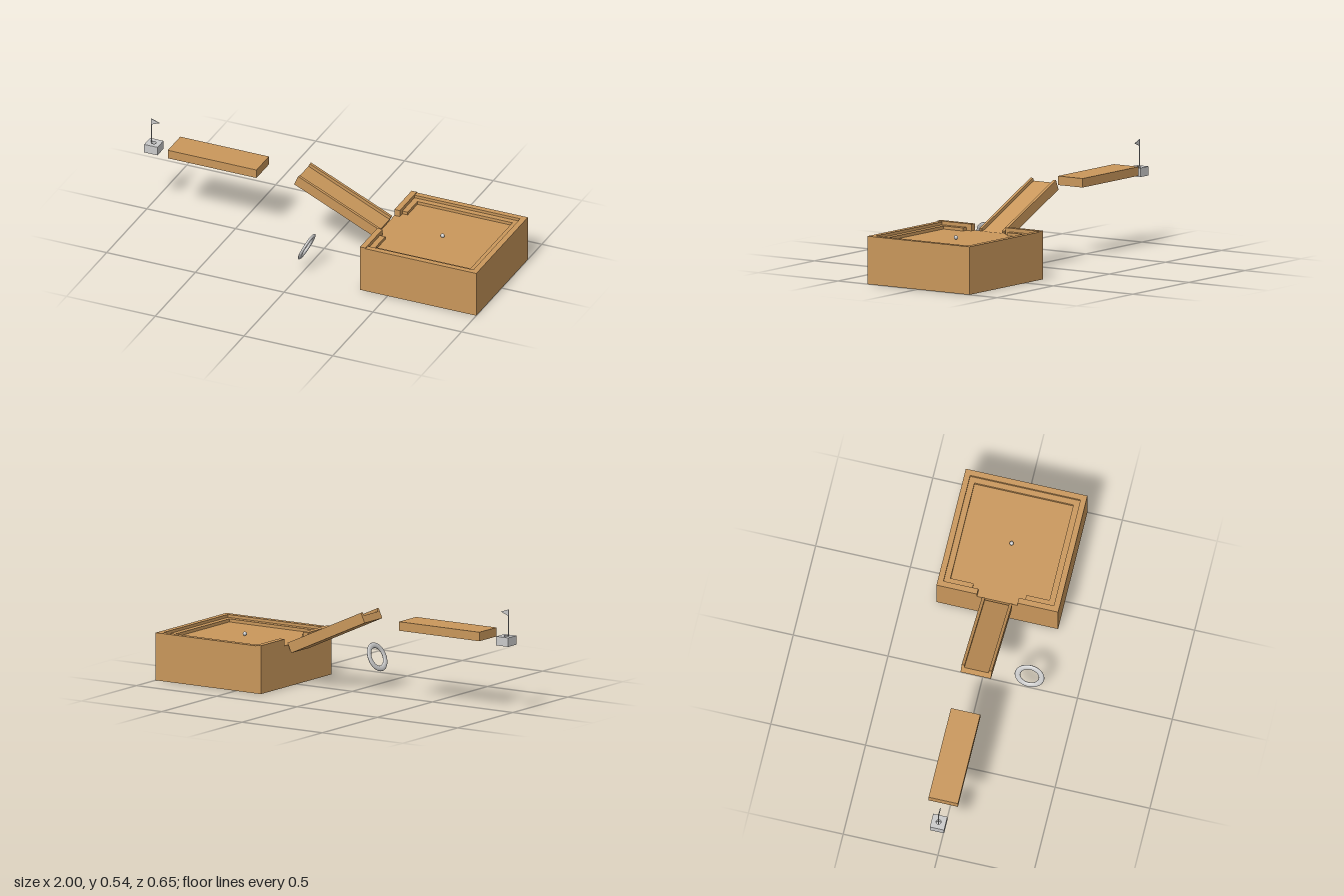
import * as THREE from 'three';

export function createModel() {
  const group = new THREE.Group();
  const mat = (name, color) => {
    const m = new THREE.MeshStandardMaterial({ color });
    m.name = name;
    return m;
  };
  const wood = mat('wood', 0xc9975b);
  const grey = mat('light grey', 0xcacaca);
  const midZ = -0.005; // centre line of the course

  const add = (name, geometry, material, parent = group) => {
    const mesh = new THREE.Mesh(geometry, material);
    mesh.name = name;
    parent.add(mesh);
    return mesh;
  };
  // Box given by its limits on each axis
  const block = (name, material, [x0, x1], [y0, y1], [z0, z1], parent) => {
    const mesh = add(name, new THREE.BoxGeometry(x1 - x0, y1 - y0, z1 - z0), material, parent);
    mesh.position.set((x0 + x1) / 2, (y0 + y1) / 2, (z0 + z1) / 2);
    return mesh;
  };
  // Plan outline extruded upwards from y0 to y1
  const raise = (name, shape, y0, y1, material) => {
    const geo = new THREE.ExtrudeGeometry(shape, { depth: y1 - y0, bevelEnabled: false, curveSegments: 12 });
    geo.rotateX(-Math.PI / 2);
    const mesh = add(name, geo, material);
    mesh.position.y = y0;
    return mesh;
  };

  // Tray: solid base with two stepped walls, open towards the ramp
  const x0 = 0.345, x1 = 1.0, half = 0.321;
  const floorY = 0.218, ledgeY = 0.234, rimY = 0.249;
  block('trayBase', wood, [x0, x1], [0, floorY], [midZ - half, midZ + half]);
  const wall = (name, inset, gap, y0, y1) => {
    const a = x0 + inset, b = x1 - inset, h = half - inset, t = 0.03;
    const pts = [
      [a, -gap], [a, -h], [b, -h], [b, h], [a, h], [a, gap],
      [a + t, gap], [a + t, h - t], [b - t, h - t], [b - t, -h + t], [a + t, -h + t], [a + t, -gap],
    ];
    const shape = new THREE.Shape(pts.map(([x, z]) => new THREE.Vector2(x, z)));
    raise(name, shape, y0, y1, wood).position.z = midZ;
  };
  wall('trayRim', 0, 0.107, floorY, rimY);
  wall('trayLedge', 0.03, 0.139, floorY, ledgeY);
  // Slightly raised wall tops beside the opening
  for (const s of [-1, 1]) {
    const z = [midZ + s * 0.107, midZ + s * half].sort((p, q) => p - q);
    block('entryWallTop', wood, [x0, x0 + 0.03], [rimY, 0.253], z);
  }

  // Ball resting on the tray floor
  add('ball', new THREE.SphereGeometry(0.011, 10, 8), grey).position.set(0.665, floorY + 0.011, midZ);

  // Sloping ramp with side rails
  const slope = 0.426;
  const ramp = new THREE.Group();
  ramp.name = 'ramp';
  ramp.position.set(0.104, 0.308, midZ);
  ramp.rotation.z = -slope;
  group.add(ramp);
  block('rampFloor', wood, [-0.251, 0.251], [-0.028, 0.011], [-0.08, 0.08], ramp);
  for (const s of [-1, 1]) {
    const z = [s * 0.064, s * 0.08].sort((p, q) => p - q);
    block('rampRail', wood, [-0.251, 0.251], [0.011, 0.028], z, ramp);
  }

  // Floating plank
  block('plank', wood, [-0.85, -0.35], [0.37, 0.417], [midZ - 0.08, midZ + 0.075]);

  // Flattened ring tilted with the ramp
  const ringGeo = new THREE.TorusGeometry(0.063, 0.015, 12, 40);
  ringGeo.scale(1, 1, 0.5);
  ringGeo.rotateY(Math.PI / 2);
  const ring = add('ring', ringGeo, grey);
  ring.position.set(0.012, 0.14, 0.244);
  ring.rotation.z = -slope;

  // Goal block with a round cup
  const cx = -0.9625, r = 0.0375;
  const top = new THREE.Shape([[-r, -r], [r, -r], [r, r], [-r, r]].map(([x, z]) => new THREE.Vector2(x, z)));
  const cup = new THREE.Path();
  cup.absarc(0, 0, 0.013, 0, Math.PI * 2, true);
  top.holes.push(cup);
  raise('goalBlock', top, 0.37, 0.397, grey).position.set(cx, 0.37, midZ);
  block('goalBlockBase', grey, [cx - r, cx + r], [0.35, 0.37], [midZ - r, midZ + r]);

  // Flag pole and pennant
  const pole = add('flagPole', new THREE.CylinderGeometry(0.003, 0.003, 0.167, 10), grey);
  pole.position.set(-0.975, 0.4535, -0.003);
  const pennant = new THREE.Shape([
    new THREE.Vector2(-0.975, 0.503), new THREE.Vector2(-0.93, 0.521), new THREE.Vector2(-0.975, 0.537),
  ]);
  const flag = add('flag', new THREE.ExtrudeGeometry(pennant, { depth: 0.004, bevelEnabled: false }), grey);
  flag.position.z = -0.005;

  return group;
}
